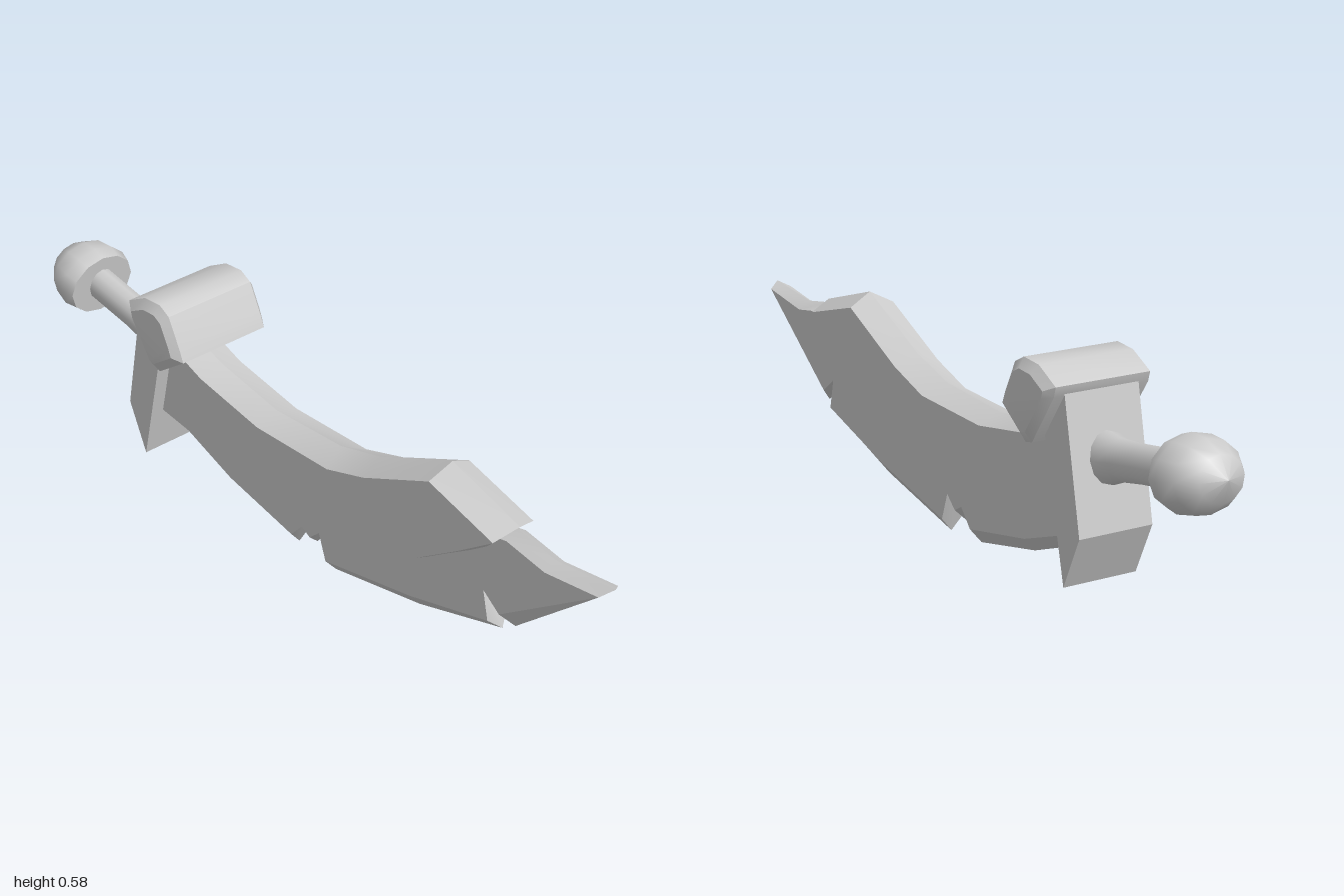
import * as THREE from 'three';
import { toCreasedNormals } from 'three/addons/utils/BufferGeometryUtils.js';

const grey = new THREE.MeshStandardMaterial({ color: 0xcccccc });

// Lofts [z, y] outlines (clockwise with z to the right) along x and caps both ends.
function loft(name, rings, crease = 0.5) {
  const pos = [], idx = [], n = rings[0].pts.length;
  for (const { x, pts } of rings) for (const [z, y] of pts) pos.push(x, y, z);
  for (let k = 0; k < rings.length - 1; k++) {
    for (let i = 0; i < n; i++) {
      const a = k * n + i, b = k * n + (i + 1) % n;
      idx.push(a, b, b + n, a, b + n, a + n);
    }
  }
  for (const k of [0, rings.length - 1]) {
    const pts = rings[k].pts.map(([z, y]) => new THREE.Vector2(z, y));
    for (const [a, b, c] of THREE.ShapeUtils.triangulateShape(pts, [])) {
      const clockwise = THREE.ShapeUtils.area([pts[a], pts[b], pts[c]]) < 0;
      const o = k * n;
      if (clockwise === (k > 0)) idx.push(o + a, o + b, o + c);
      else idx.push(o + a, o + c, o + b);
    }
  }
  const g = new THREE.BufferGeometry();
  g.setAttribute('position', new THREE.Float32BufferAttribute(pos, 3));
  g.setIndex(idx);
  const mesh = new THREE.Mesh(toCreasedNormals(g, crease), grey);
  mesh.name = name;
  return mesh;
}

// A plate with a central ridge; rows are [ridge z, ridge y, flat z, flat y].
function ridgedPlate(name, half, rows) {
  const ridge = rows.map(r => [r[0], r[1]]);
  const flat = rows.map(r => [r[2], r[3]]);
  return loft(name, [{ x: -half, pts: flat }, { x: 0, pts: ridge }, { x: half, pts: flat }]);
}

function lathe(name, profile, sides, widthScale) {
  const pts = profile.map(([r, t]) => new THREE.Vector2(r, t));
  const mesh = new THREE.Mesh(new THREE.LatheGeometry(pts, sides), grey);
  mesh.name = name;
  mesh.scale.x = widthScale;
  return mesh;
}

export function createModel() {
  const model = new THREE.Group();
  model.name = 'curvedSword';

  // Thin cutting blade with notches in its lower edge
  model.add(ridgedPlate('cuttingBlade', 0.031, [
    [1, 0.475, 0.98, 0.458],
    [0.715, 0.2, 0.69, 0.235],
    [0.64, 0.268, 0.637, 0.275],
    [0.675, 0.17, 0.655, 0.195],
    [0.40, 0.075, 0.395, 0.113],
    [0.095, 0.003, 0.09, 0.04],
    [0.065, 0.102, 0.065, 0.113],
    [0.025, 0.05, 0.03, 0.08],
    [0, 0.085, 0, 0.097],
    [-0.045, 0.012, -0.04, 0.05],
    [-0.28, 0.06, -0.28, 0.095],
    [-0.54, 0.155, -0.54, 0.185],
    [-0.53, 0.26, -0.53, 0.25],
    [0.1, 0.26, 0.1, 0.25],
    [0.45, 0.40, 0.45, 0.39],
    [0.7, 0.472, 0.7, 0.45],
    [0.82, 0.453, 0.82, 0.432],
  ]));

  // Thick spine along the upper side of the blade
  model.add(ridgedPlate('bladeSpine', 0.064, [
    [0.71, 0.48, 0.69, 0.455],
    [0.595, 0.352, 0.58, 0.37],
    [0.45, 0.25, 0.445, 0.272],
    [0.30, 0.195, 0.30, 0.217],
    [0.10, 0.16, 0.10, 0.182],
    [-0.17, 0.147, -0.17, 0.167],
    [-0.54, 0.185, -0.54, 0.205],
    [-0.5, 0.45, -0.5, 0.43],
    [-0.34, 0.40, -0.35, 0.378],
    [-0.13, 0.367, -0.13, 0.344],
    [0.11, 0.385, 0.13, 0.357],
    [0.25, 0.428, 0.26, 0.402],
    [0.49, 0.543, 0.48, 0.51],
  ]));

  // Wedge shaped hand guard
  const guard = [[-0.45, 0.48], [-0.545, 0.068], [-0.605, 0.2], [-0.54, 0.53]];
  model.add(loft('guard', [{ x: -0.102, pts: guard }, { x: 0.102, pts: guard }]));

  // Crossbar on top of the guard, with chamfered ends
  const bar = [[-0.333, 0.46], [-0.43, 0.39], [-0.455, 0.395], [-0.54, 0.52],
    [-0.547, 0.545], [-0.48, 0.582], [-0.42, 0.588], [-0.385, 0.57], [-0.345, 0.49]];
  const barEnd = bar.map(([z, y]) => [-0.44 + (z + 0.44) * 0.74, 0.495 + (y - 0.495) * 0.74]);
  model.add(loft('crossbar', [
    { x: -0.147, pts: barEnd }, { x: -0.13, pts: bar },
    { x: 0.13, pts: bar }, { x: 0.147, pts: barEnd },
  ], 0.6));

  // Tilted handle with a domed pommel
  const hilt = new THREE.Group();
  hilt.name = 'hilt';
  hilt.position.set(0, 0.365, -0.55);
  hilt.rotation.x = -Math.PI / 2 + 0.14;
  hilt.add(
    lathe('handle', [[0.064, 0], [0.062, 0.035], [0.051, 0.075], [0.047, 0.15], [0.047, 0.31]], 12, 0.83),
    lathe('pommelBase', [[0, 0.3], [0.084, 0.3]], 12, 1.15),
    lathe('pommelDome', [[0.084, 0.3], [0.092, 0.335], [0.083, 0.385], [0.054, 0.43], [0, 0.454]], 12, 1.15),
  );
  model.add(hilt);

  return model;
}
